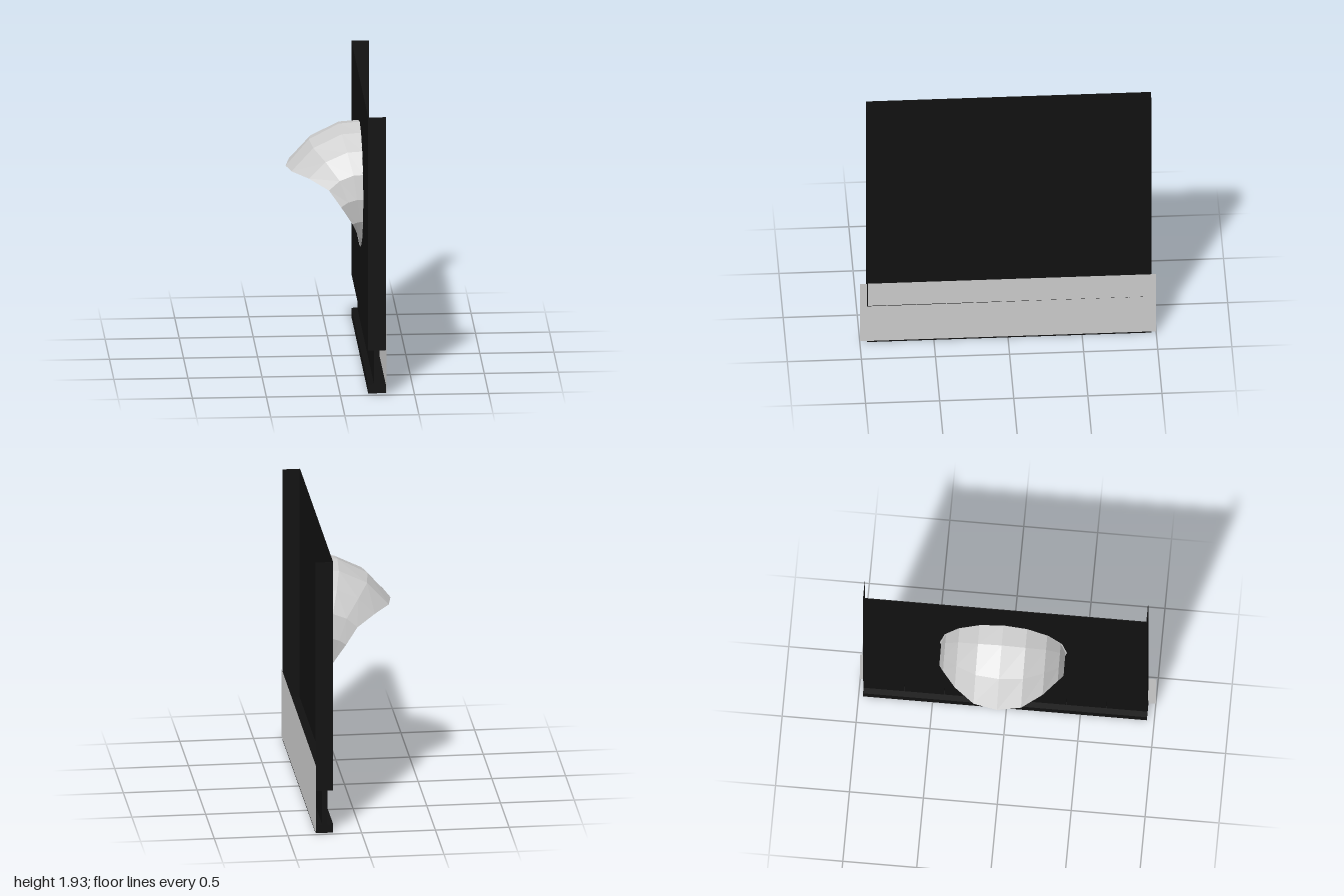
import * as THREE from 'three';

const black = new THREE.MeshStandardMaterial({ color: 0x111111, side: THREE.DoubleSide });
const grey = new THREE.MeshStandardMaterial({ color: 0xcccccc, side: THREE.DoubleSide, flatShading: true });

const X0 = 0.19, X1 = 0.31, Z0 = -0.97, Z1 = 0.95, T = 0.004;
const HOOD_Y = 1.2, HOOD_Z = -0.02, HOOD_R = 0.43;

// Box given by its minimum and maximum corners
function block(name, min, max, material = black) {
  const size = max.map((v, i) => v - min[i]);
  const mesh = new THREE.Mesh(new THREE.BoxGeometry(...size), material);
  mesh.position.set(...max.map((v, i) => (v + min[i]) / 2));
  mesh.name = name;
  return mesh;
}

// Scoop: 16 lines running from a circle on the wall to a bent open rim
function hoodGeometry() {
  const rim = [
    [-0.31, 1.33], [-0.28, 1.335], [-0.17, 1.32], [-0.04, 1.26], [0.04, 1.15],
    [0.12, 1.02], [0.16, 0.92], [0.18, 0.81], [0.187, 0.77],
  ];
  const steps = [0, 0.25, 0.65, 1];
  const sides = 16;
  const positions = [], index = [];
  for (let k = 0; k <= sides; k++) {
    const angle = (k / sides) * Math.PI * 2;
    const [rx, ry] = rim[k <= 8 ? k : sides - k];
    const ay = HOOD_Y + HOOD_R * Math.cos(angle);
    const curve = new THREE.QuadraticBezierCurve(
      new THREE.Vector2(X0, ay),
      new THREE.Vector2(X0 + (rx - X0) * 0.58, ay + (X0 - rx) * 0.04),
      new THREE.Vector2(rx, ry),
    );
    for (const t of steps) {
      const p = curve.getPoint(t);
      positions.push(p.x, p.y, HOOD_Z + 0.42 * Math.sin(angle));
    }
  }
  const n = steps.length;
  for (let k = 0; k < sides; k++) {
    for (let j = 0; j < n - 1; j++) {
      const a = k * n + j, b = a + n;
      index.push(a, a + 1, b, b, a + 1, b + 1);
    }
  }
  const geometry = new THREE.BufferGeometry();
  geometry.setAttribute('position', new THREE.Float32BufferAttribute(positions, 3));
  geometry.setIndex(index);
  geometry.computeVertexNormals();
  return geometry;
}

export function createModel() {
  const model = new THREE.Group();
  model.name = 'ventilatedWallPanel';

  // Upper tray, open at the top and on the +x side
  const tray = new THREE.Group();
  tray.name = 'wallTray';
  tray.add(
    block('wallSheet', [X0, 0.3, Z0], [X0 + T, 1.93, Z1]),
    block('trayFloor', [X0, 0.3, Z0], [X1, 0.3 + T, Z1]),
    block('backEnd', [X0, 0.3, Z0], [X1, 1.93, Z0 + T]),
    block('frontEnd', [X0, 0.3, Z1 - T], [X1, 1.93, Z1]),
  );
  model.add(tray);

  // Bottom rail and the row of blocks carrying the tray
  model.add(block('bottomRail', [X0, 0, Z0], [X1 - 0.001, 0.06, Z1]));
  const neck = new THREE.Group();
  neck.name = 'neckBlocks';
  const count = 7, pitch = (Z1 - Z0) / count;
  for (let i = 0; i < count; i++) {
    const z = Z0 + i * pitch;
    neck.add(block('neckBlock', [0.23, 0.06, z + (i ? 0.002 : 0)],
      [0.265, 0.3, z + pitch - (i < count - 1 ? 0.002 : 0)]));
  }
  model.add(neck);

  // Thin skirting sheet on the outer side
  const skirting = new THREE.Mesh(new THREE.PlaneGeometry(2, 0.48), grey);
  skirting.rotation.y = Math.PI / 2;
  skirting.position.set(X1, 0.25, 0);
  skirting.name = 'skirtingSheet';
  model.add(skirting);

  // Hood with its flat backing flange and grille slats
  const hood = new THREE.Mesh(hoodGeometry(), grey);
  hood.name = 'ventHood';
  const flange = new THREE.Mesh(new THREE.CircleGeometry(HOOD_R, 16), grey);
  flange.rotation.y = -Math.PI / 2;
  flange.position.set(X0 - 0.002, HOOD_Y, HOOD_Z);
  flange.name = 'ventFlange';
  model.add(hood, flange);

  const grille = new THREE.Group();
  grille.name = 'ventGrille';
  for (let y = 0.92; y < 1.5; y += 0.035) {
    const half = Math.sqrt(0.39 ** 2 - (y - HOOD_Y) ** 2) * 0.95;
    grille.add(block('grilleSlat', [0.172, y, HOOD_Z - half], [X0 - 0.003, y + 0.014, HOOD_Z + half], black));
  }
  model.add(grille);

  return model;
}
